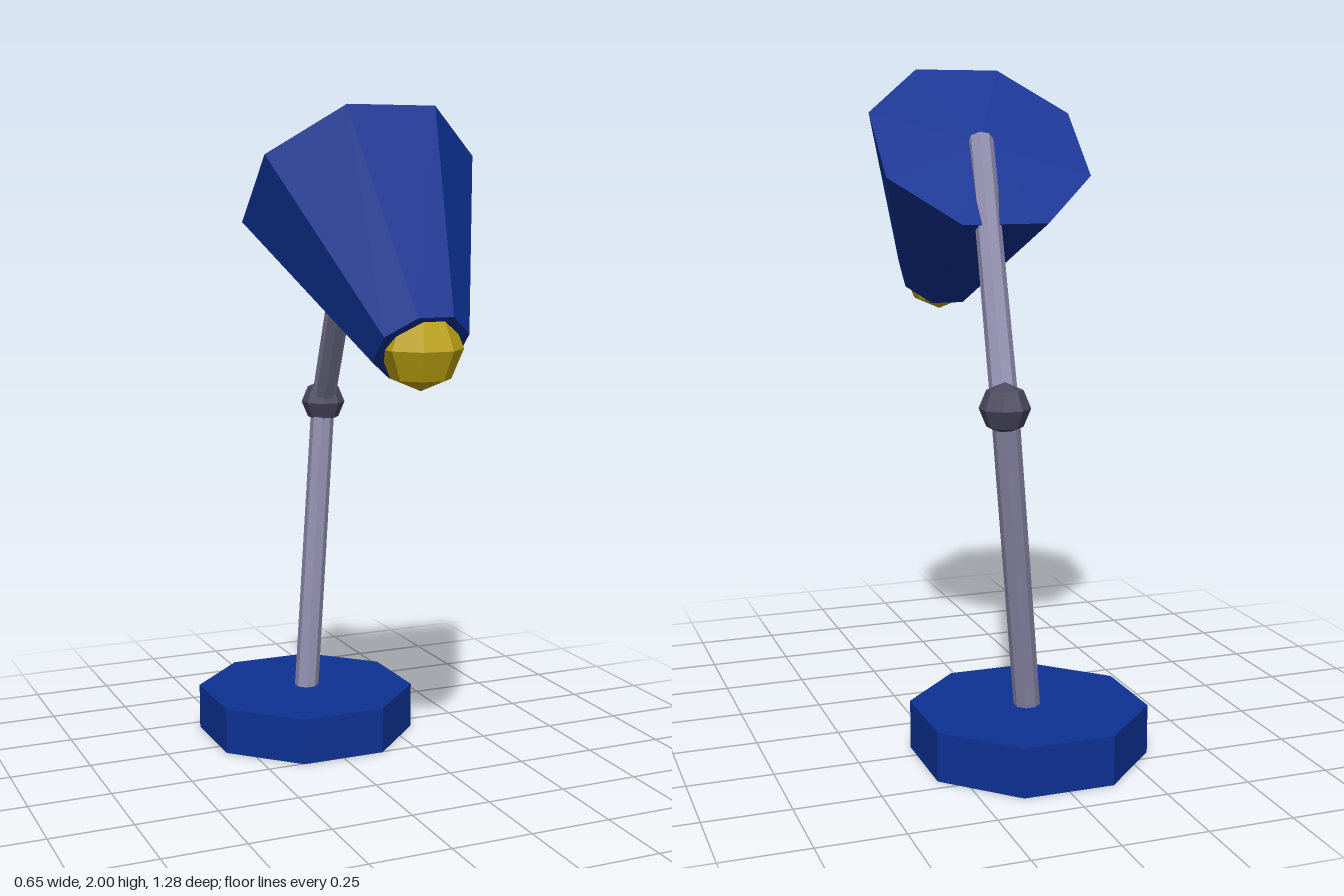
import * as THREE from 'three';

const material = (name, color) => {
  const m = new THREE.MeshStandardMaterial({ color, flatShading: true });
  m.name = name;
  return m;
};

export function createModel() {
  const lamp = new THREE.Group();
  lamp.name = 'deskLamp';

  const blue = material('blue enamel', 0x0d3193);
  const steel = material('pale steel', 0x8b89a8);
  const dark = material('dark joint', 0x4b495f);
  const yellow = material('yellow bulb', 0xc0a512);

  const SIDES = 8;
  const HALF = Math.PI / SIDES; // turns a flat side to the front

  const add = (name, geometry, mat, position) => {
    const mesh = new THREE.Mesh(geometry, mat);
    mesh.name = name;
    mesh.position.copy(position);
    lamp.add(mesh);
    return mesh;
  };
  const prism = (top, bottom, height) =>
    new THREE.CylinderGeometry(top, bottom, height, SIDES, 1, false, HALF);
  const ball = (radius) => new THREE.SphereGeometry(radius, SIDES, 4).rotateY(HALF);

  // Straight rod between two points
  const rod = (name, from, to) => {
    const dir = to.clone().sub(from);
    const mesh = add(name, prism(0.039, 0.039, dir.length()), steel,
      from.clone().add(to).multiplyScalar(0.5));
    mesh.quaternion.setFromUnitVectors(new THREE.Vector3(0, 1, 0), dir.normalize());
  };

  const foot = new THREE.Vector3(0, 0.1, -0.315);
  const elbow = new THREE.Vector3(0.138, 1.066, -0.493);
  const tip = new THREE.Vector3(-0.003, 1.785, 0.113);
  const mouth = new THREE.Vector3(0, 1.347, 0.532);

  // Base
  add('base', prism(0.351, 0.351, 0.145), blue, new THREE.Vector3(0, 0.0725, -0.32));

  // Jointed arm
  rod('lowerArm', foot, elbow);
  rod('upperArm', elbow, tip);
  add('elbowJoint', ball(0.072), dark, elbow);

  // Shade tilted forward, wide end up, with the bulb in its narrow end
  const shadeLength = 0.602;
  const axis = new THREE.Vector3(0, Math.SQRT1_2, -Math.SQRT1_2);
  const shade = add('shade', prism(0.351, 0.138, shadeLength), blue,
    mouth.clone().addScaledVector(axis, shadeLength / 2));
  shade.rotation.x = -Math.PI / 4;
  add('bulb', ball(0.117), yellow, mouth);

  return lamp;
}
